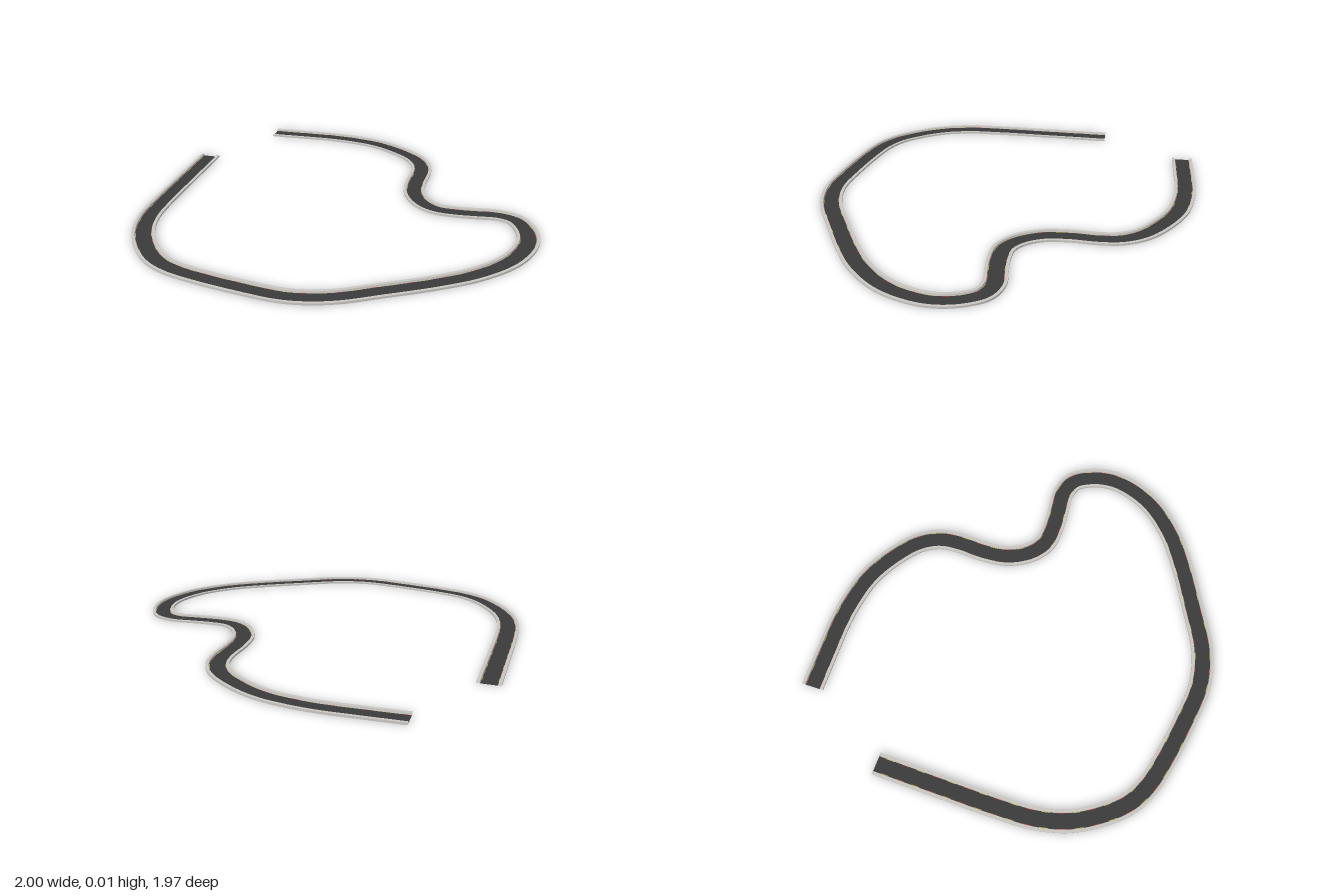
import * as THREE from 'three';

// Centre line of the road, x and z pairs
const PATH = [
  -0.68, -0.923, -0.45, -0.928, -0.315, -0.929, -0.18, -0.917, -0.02, -0.88, 0.14, -0.793,
  0.245, -0.703, 0.3, -0.603, 0.313, -0.498, 0.308, -0.363, 0.323, -0.233, 0.383, -0.123,
  0.463, -0.065, 0.567, -0.053, 0.674, -0.059, 0.78, -0.066, 0.866, -0.034, 0.922, 0.056,
  0.944, 0.168, 0.924, 0.286, 0.86, 0.42, 0.727, 0.562, 0.567, 0.671, 0.353, 0.789,
  0.166, 0.886, 0.03, 0.923, -0.075, 0.929, -0.21, 0.912, -0.45, 0.868, -0.61, 0.823,
  -0.716, 0.762, -0.81, 0.658, -0.893, 0.514, -0.934, 0.356, -0.943, 0.168, -0.941, -0.13,
  -0.937, -0.47,
];
const STEPS = 280;
const ROAD = 0.0385, TOP = 0.0405, EDGE = 0.056, HEIGHT = 0.01;

const paint = (name, color) =>
  new THREE.MeshStandardMaterial({ name, color, side: THREE.DoubleSide });

export function createModel() {
  const asphalt = paint('asphalt', 0x3a3a3a);
  const concrete = paint('concrete', 0xc8c5c1);
  const red = paint('redMarker', 0xc0392b);
  const yellow = paint('yellowMarker', 0xc2b02e);

  const points = [];
  for (let i = 0; i < PATH.length; i += 2) points.push(new THREE.Vector3(PATH[i], 0, PATH[i + 1]));
  const curve = new THREE.CatmullRomCurve3(points, false, 'centripetal');
  const frames = [];
  for (let i = 0; i <= STEPS; i++) {
    frames.push({ p: curve.getPointAt(i / STEPS), t: curve.getTangentAt(i / STEPS) });
  }

  // Sweeps flat bands between successive [offset, height] points; pick chooses the steps to fill
  const sweep = (profile, pick = () => true) => {
    const pos = [], index = [];
    for (let j = 0; j < profile.length - 1; j++) {
      const base = pos.length / 3;
      for (const { p, t } of frames) {
        for (const [o, y] of [profile[j], profile[j + 1]]) {
          pos.push(p.x - t.z * o, y, p.z + t.x * o);
        }
      }
      for (let i = 0; i < STEPS; i++) {
        const k = base + i * 2;
        if (pick(i)) index.push(k, k + 1, k + 2, k + 1, k + 3, k + 2);
      }
    }
    const g = new THREE.BufferGeometry();
    g.setAttribute('position', new THREE.Float32BufferAttribute(pos, 3));
    g.setIndex(index);
    g.computeVertexNormals();
    return g;
  };

  const group = new THREE.Group();
  group.name = 'raceTrack';
  const add = (name, geometry, material) => {
    const mesh = new THREE.Mesh(geometry, material);
    mesh.name = name;
    group.add(mesh);
  };

  add('roadSurface', sweep([[-ROAD, 0], [ROAD, 0]]), asphalt);

  for (const [side, s] of [['left', -1], ['right', 1]]) {
    // Mirrors a profile, reversing it on the left so that faces keep pointing outward
    const strip = (profile, pick) => {
      const mirrored = profile.map(([o, y]) => [o * s, y]);
      return sweep(s > 0 ? mirrored : mirrored.reverse(), pick);
    };
    // Raised pale barrier: inner face, top, outer wall and underside
    const barrier = [[ROAD, 0], [TOP, HEIGHT], [EDGE, HEIGHT], [EDGE, 0], [ROAD, 0]];
    add(side + 'Barrier', strip(barrier), concrete);
    // Narrow kerb markers along the road edge
    const kerb = [[ROAD - 0.0025, 0.001], [ROAD, 0.001]];
    add(side + 'RedMarkers', strip(kerb, (i) => i % 8 < 2), red);
    add(side + 'YellowMarkers', strip(kerb, (i) => i % 8 > 3 && i % 8 < 6), yellow);
  }
  return group;
}
